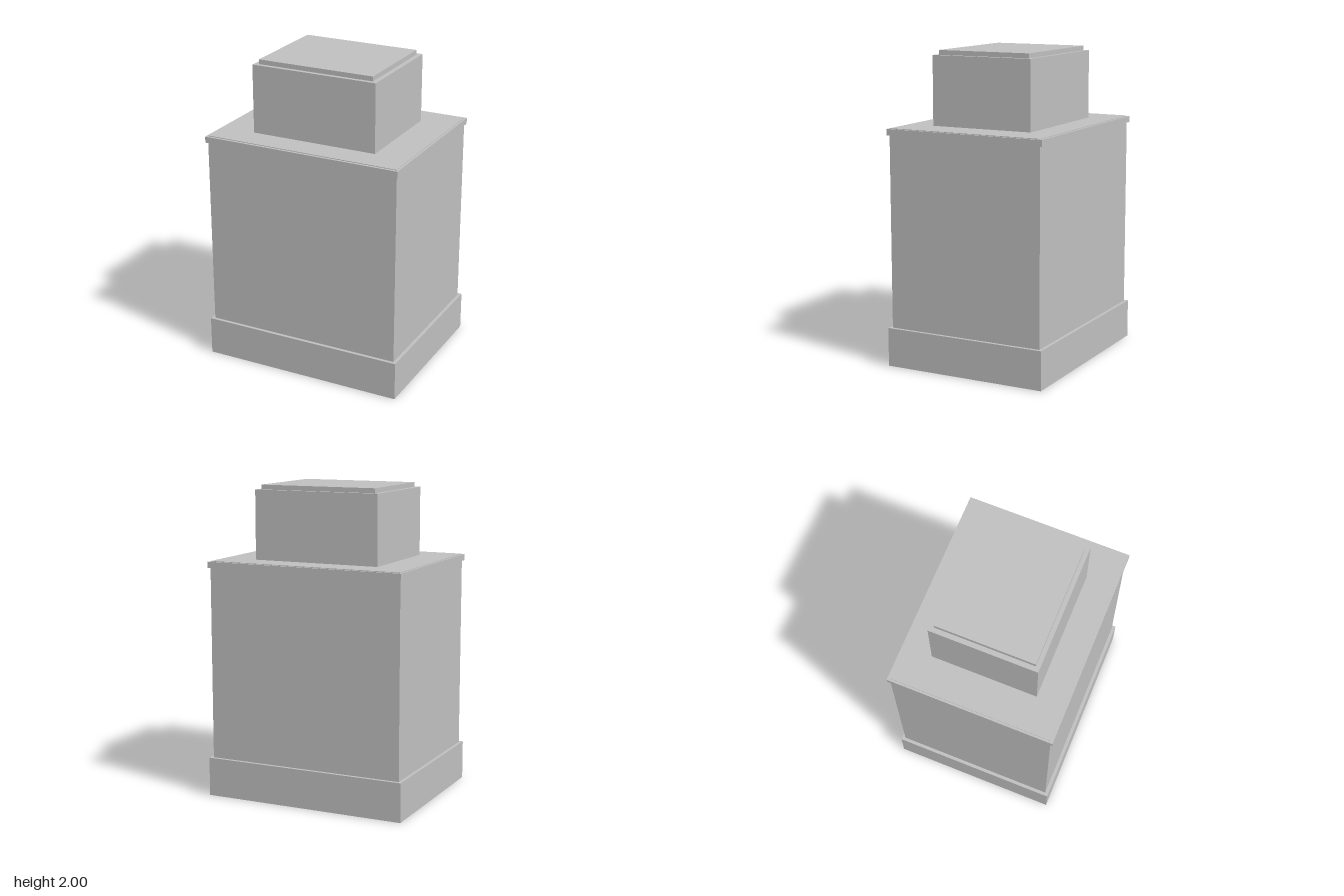
import * as THREE from 'three';

export function createModel() {
  const group = new THREE.Group();
  const grey = new THREE.MeshStandardMaterial({ color: 0xbfbfbf });
  grey.name = 'plain grey';

  // Each tier: name, half width, half depth, bottom, top
  const tiers = [
    ['basePlinth', 0.669, 0.542, 0, 0.25],
    ['mainBody', 0.648, 0.521, 0.25, 1.483],
    ['cornice', 0.659, 0.537, 1.483, 1.523],
    ['roofSheet', 0.645, 0.52, 1.523, 1.527],
    ['upperBlock', 0.42, 0.342, 1.527, 1.97],
    ['topCap', 0.389, 0.315, 1.97, 2],
  ];
  for (const [name, halfWidth, halfDepth, bottom, top] of tiers) {
    const geometry = new THREE.BoxGeometry(halfWidth * 2, top - bottom, halfDepth * 2);
    const mesh = new THREE.Mesh(geometry, grey);
    mesh.position.y = (bottom + top) / 2;
    mesh.name = name;
    group.add(mesh);
  }
  return group;
}
